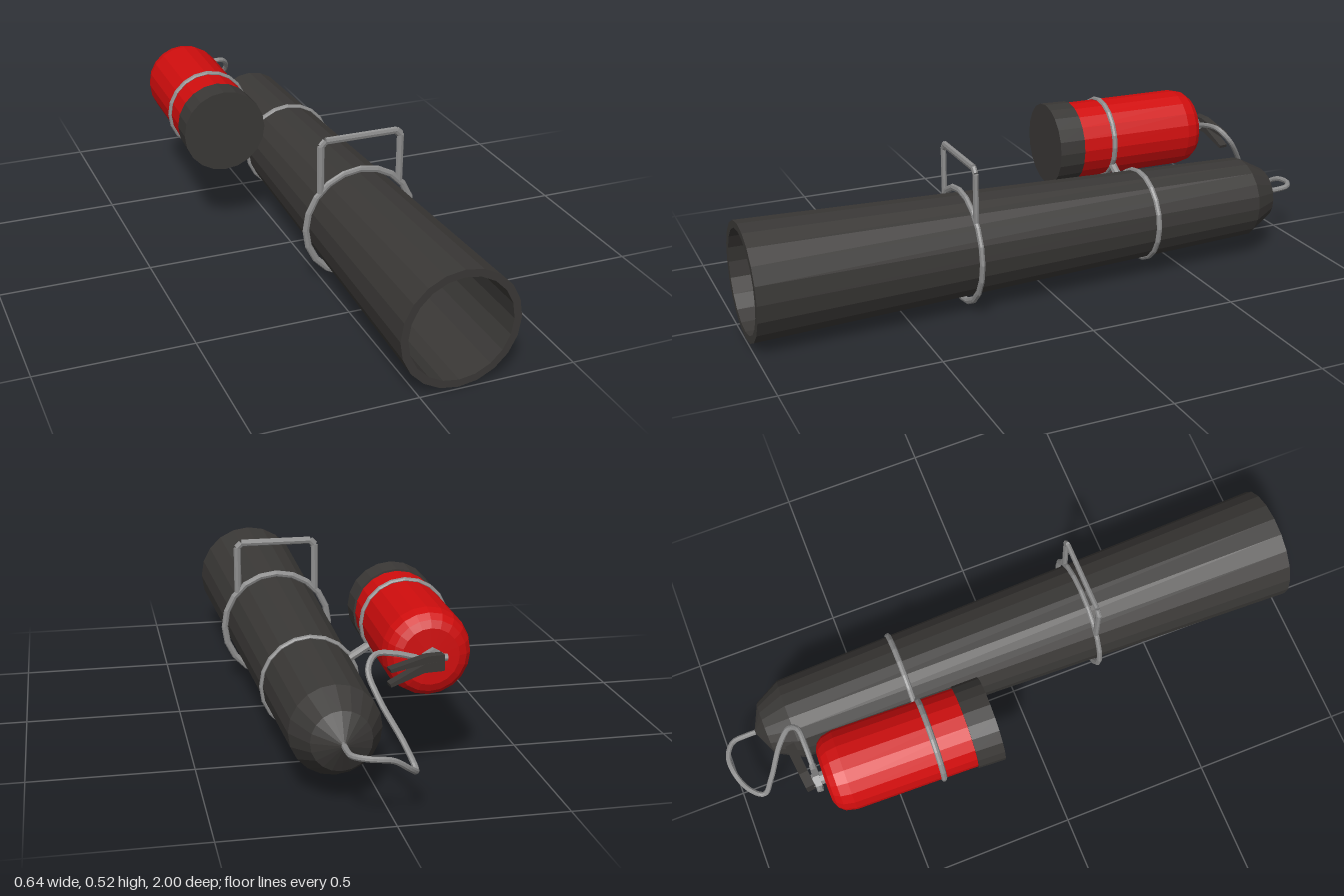
import * as THREE from 'three';

const mat = (color) => new THREE.MeshStandardMaterial({ color, flatShading: true });
const dark = mat(0x3a3836);
const red = mat(0xd00d0d);
const metal = mat(0x8c8c8c);

function add(parent, name, geometry, material, x = 0, y = 0, z = 0) {
  const mesh = new THREE.Mesh(geometry, material);
  mesh.name = name;
  mesh.position.set(x, y, z);
  parent.add(mesh);
  return mesh;
}

// Lathe turned around the z axis; profile pairs are [radius, z], back to front
function latheZ(profile, sides = 20) {
  const points = profile.map(([r, z]) => new THREE.Vector2(r, z));
  return new THREE.LatheGeometry(points, sides).rotateX(Math.PI / 2);
}

// Round bar between two points
function bar(parent, name, a, b, radius, material, sides = 8) {
  const from = new THREE.Vector3(...a);
  const to = new THREE.Vector3(...b);
  const dir = to.clone().sub(from);
  const mesh = add(parent, name, new THREE.CylinderGeometry(radius, radius, dir.length(), sides), material);
  mesh.position.copy(from).add(to).multiplyScalar(0.5);
  mesh.quaternion.setFromUnitVectors(new THREE.Vector3(0, 1, 0), dir.normalize());
  return mesh;
}

// Ring around the z axis, flattened along z by depth
function ring(radius, tube, depth) {
  return new THREE.TorusGeometry(radius, tube, 8, 20).rotateZ(Math.PI / 2).scale(1, 1, depth);
}

export function createModel() {
  const model = new THREE.Group();
  model.name = 'tubeLauncher';
  const bx = 0.123, by = 0.198;

  // Tapered barrel with a conical tail and an open muzzle
  add(model, 'barrel', latheZ([
    [0, -0.885], [0.012, -0.878], [0.09, -0.842], [0.137, -0.755],
    [0.19, 1], [0.166, 1], [0.166, 0.4], [0, 0.4],
  ]), dark, bx, by, 0);

  // Carrying handle: clamp ring and a bent bar with cut corners
  add(model, 'handleRing', ring(0.185, 0.0115, 0.75), metal, bx, by, 0.29);
  const handle = new THREE.Group();
  handle.name = 'handle';
  handle.position.z = 0.29;
  handle.scale.z = 0.7;
  model.add(handle);
  const corners = [
    [-0.013, 0.32, 0], [-0.013, 0.482, 0], [0.002, 0.498, 0],
    [0.244, 0.498, 0], [0.259, 0.482, 0], [0.259, 0.32, 0],
  ];
  for (let i = 0; i < corners.length - 1; i++) {
    bar(handle, 'handleBar', corners[i], corners[i + 1], 0.0125, metal);
  }

  // Pressure bottle, slightly turned against the barrel
  const bottle = new THREE.Group();
  bottle.name = 'bottle';
  bottle.position.set(-0.18, 0.383, -0.15);
  bottle.rotation.y = -0.027;
  model.add(bottle);
  add(bottle, 'bottleBody', latheZ([
    [0, -0.562], [0.085, -0.56], [0.108, -0.55], [0.124, -0.53],
    [0.132, -0.495], [0.132, -0.08], [0, -0.08],
  ]), red);
  add(bottle, 'bottleBase', latheZ([[0, -0.09], [0.138, -0.09], [0.14, 0], [0, 0]]), dark);
  add(bottle, 'bottleBand', ring(0.134, 0.008, 1.2), metal, 0, 0, -0.205);

  // Valve on the bottle neck
  const valve = new THREE.Group();
  valve.name = 'valve';
  valve.position.set(0, 0, -0.56);
  bottle.add(valve);
  add(valve, 'neck', latheZ([[0, -0.04], [0.022, -0.04], [0.022, 0], [0, 0]], 8), metal);
  add(valve, 'collar', latheZ([[0, -0.034], [0.034, -0.034], [0.034, -0.014], [0, -0.014]], 6), metal);
  bar(valve, 'outlet', [-0.042, 0.005, -0.025], [0.05, 0.005, -0.025], 0.011, metal);

  // Squeeze grip: two tapered plates reaching toward the barrel
  const plate = (points) => new THREE.ExtrudeGeometry(
    new THREE.Shape(points.map(([x, y]) => new THREE.Vector2(x, y))),
    { depth: 0.03, bevelEnabled: false }).translate(0, 0, -0.03);
  const grip = new THREE.Group();
  grip.name = 'grip';
  grip.position.set(-0.02, 0, -0.036);
  grip.rotation.y = 0.14;
  valve.add(grip);
  add(grip, 'carryPlate', plate([[0, -0.022], [0.06, -0.022], [0.16, -0.055], [0.163, -0.045], [0.06, 0.004], [0, 0.008]]), dark);
  add(grip, 'squeezeLever', plate([[0, 0.008], [0.05, 0.005], [0.16, -0.012], [0.163, -0.002], [0.05, 0.026], [0, 0.026]]), dark);

  // Band around the barrel and the strut that carries the bottle
  add(model, 'barrelBand', ring(0.1515, 0.008, 1.2), metal, bx, by, -0.355);
  bar(model, 'bottleStrut', [-0.063, 0.312, -0.355], [-0.002, 0.275, -0.355], 0.014, metal);

  // Hose looping from the valve to the tail of the barrel
  const path = new THREE.CatmullRomCurve3([
    [-0.115, 0.392, -0.733], [-0.05, 0.408, -0.733], [0.005, 0.41, -0.737], [0.032, 0.375, -0.765],
    [0.012, 0.305, -0.815], [-0.045, 0.195, -0.88], [-0.07, 0.13, -0.925], [-0.045, 0.15, -0.962],
    [0.01, 0.19, -0.988], [0.075, 0.2, -0.99], [0.117, 0.2, -0.96], [0.123, 0.198, -0.915], [0.123, 0.198, -0.87],
  ].map((p) => new THREE.Vector3(...p)));
  add(model, 'hose', new THREE.TubeGeometry(path, 60, 0.009, 8), metal);

  return model;
}
